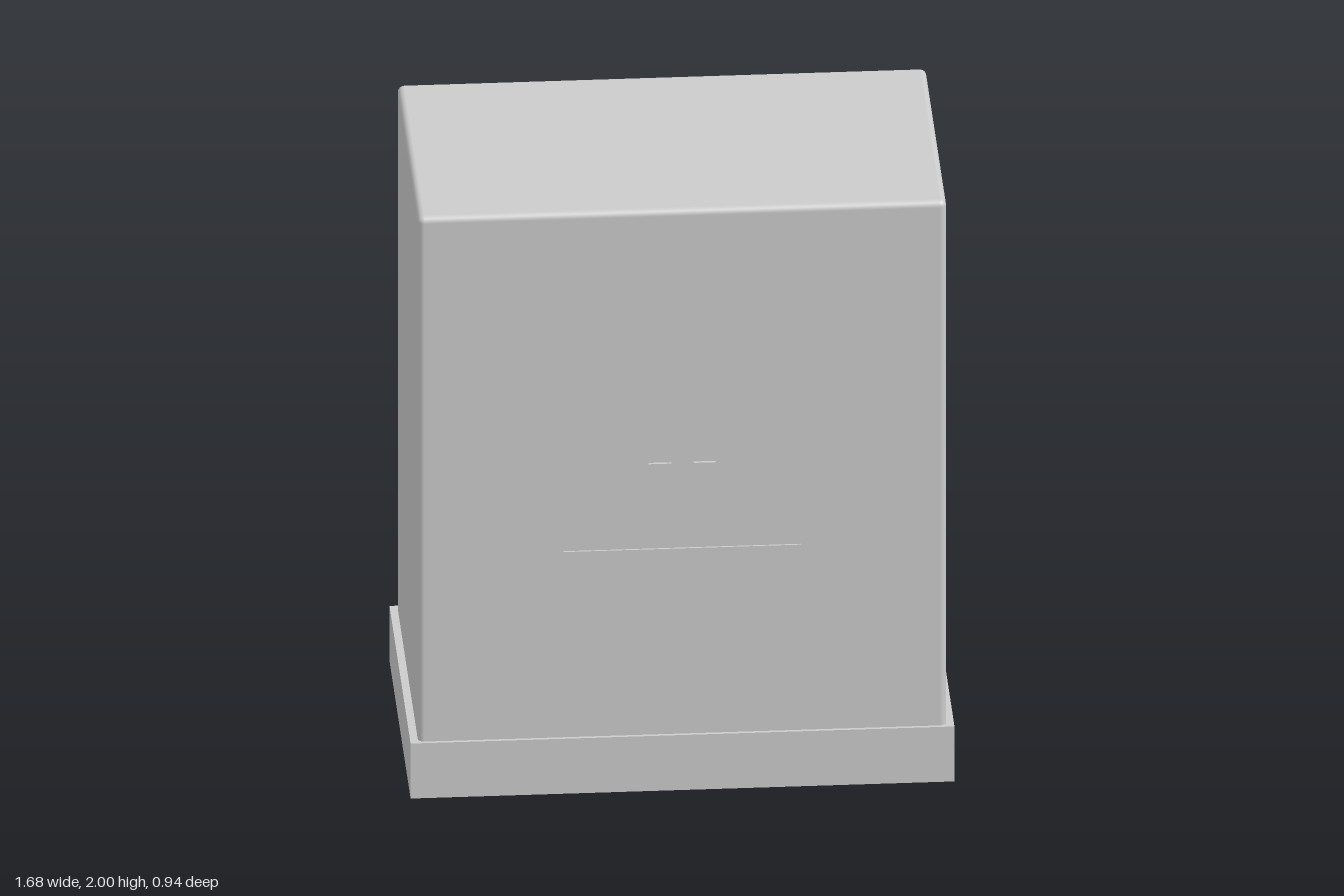
import * as THREE from 'three';
import { RoundedBoxGeometry } from 'three/addons/geometries/RoundedBoxGeometry.js';

const material = new THREE.MeshStandardMaterial({ color: 0xcccccc });

function addMesh(parent, name, geometry, x = 0, y = 0, z = 0) {
  const mesh = new THREE.Mesh(geometry, material);
  mesh.name = name;
  mesh.position.set(x, y, z);
  parent.add(mesh);
  return mesh;
}

// Rounded box without its flat front face, which the front plate replaces
function openFrontBox(width, height, depth, radius) {
  const geometry = new RoundedBoxGeometry(width, height, depth, 4, radius);
  const pos = geometry.attributes.position;
  const nor = geometry.attributes.normal;
  let front = -Infinity;
  for (let i = 0; i < pos.count; i++) front = Math.max(front, pos.getZ(i));
  const positions = [], normals = [];
  let halfX = 0, halfY = 0;
  for (let i = 0; i < pos.count; i += 3) {
    const corners = [i, i + 1, i + 2];
    if (corners.every(c => pos.getZ(c) > front - 1e-6)) {
      halfX = Math.abs(pos.getX(i));
      halfY = Math.abs(pos.getY(i));
      continue;
    }
    for (const c of corners) {
      positions.push(pos.getX(c), pos.getY(c), pos.getZ(c));
      normals.push(nor.getX(c), nor.getY(c), nor.getZ(c));
    }
  }
  const open = new THREE.BufferGeometry();
  open.setAttribute('position', new THREE.Float32BufferAttribute(positions, 3));
  open.setAttribute('normal', new THREE.Float32BufferAttribute(normals, 3));
  return { geometry: open, front, halfX, halfY };
}

function rectangle(PathType, x0, y0, x1, y1) {
  return new PathType([[x0, y0], [x1, y0], [x1, y1], [x0, y1]]
    .map(([x, y]) => new THREE.Vector2(x, y)));
}

export function createModel() {
  const group = new THREE.Group();
  group.name = 'cabinet';

  // Plinth
  addMesh(group, 'base', new THREE.BoxGeometry(1.68, 0.19, 0.938), 0, 0.095, 0);

  // Body shell, its lower end sunk into the plinth
  const bottom = 0.1, height = 2 - bottom, centreY = bottom + height / 2;
  const shell = openFrontBox(1.632, height, 0.917, 0.02);
  addMesh(group, 'body', shell.geometry, 0, centreY, 0);

  // Front plate with the panel opening
  const recess = 0.006, halfPanel = 0.367, panelLow = 0.83, panelHigh = 1.855;
  const plate = rectangle(THREE.Shape, -shell.halfX, centreY - shell.halfY, shell.halfX, centreY + shell.halfY);
  plate.holes.push(rectangle(THREE.Path, -halfPanel, panelLow, halfPanel, panelHigh));
  addMesh(group, 'frontPlate', new THREE.ExtrudeGeometry(plate, { depth: recess, bevelEnabled: false }),
    0, 0, shell.front - recess);

  // Recessed panel
  addMesh(group, 'frontPanel', new THREE.BoxGeometry(halfPanel * 2, panelHigh - panelLow, 0.01),
    0, (panelLow + panelHigh) / 2, shell.front - recess - 0.005);

  // Pair of thin tabs standing slightly proud of the panel
  for (const side of [-1, 1]) {
    addMesh(group, side > 0 ? 'leftTab' : 'rightTab', new THREE.BoxGeometry(0.07, 0.006, 0.014),
      side * 0.069, 1.123, 0.455);
  }
  return group;
}
